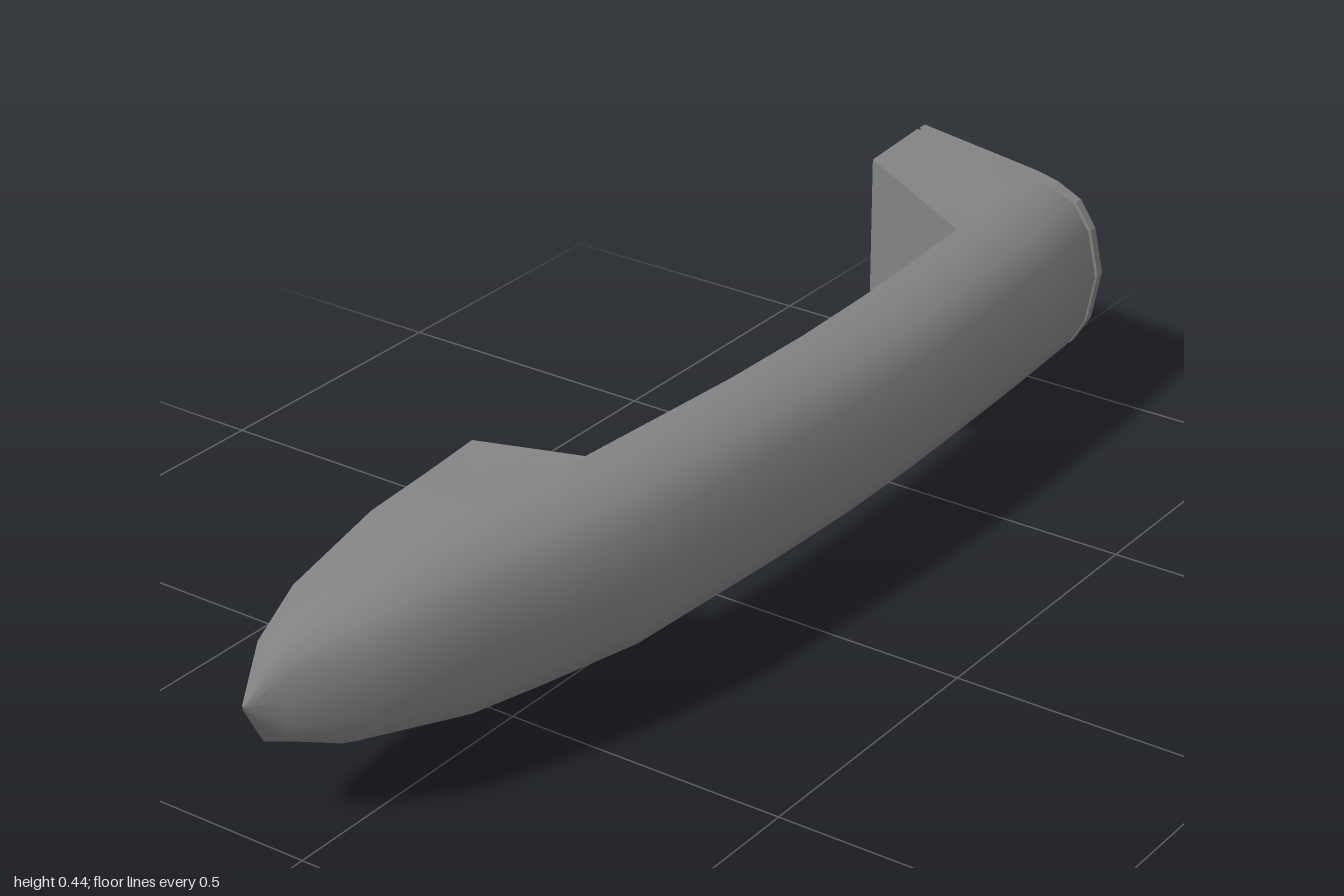
import * as THREE from 'three';

const color = 0x848484;
const smooth = new THREE.MeshStandardMaterial({ color, side: THREE.DoubleSide });
const flat = new THREE.MeshStandardMaterial({ color, side: THREE.DoubleSide, flatShading: true });

// Skin a list of cross-sections, each an equally long list of [x, y, z]
function loft(name, sections, material) {
  const n = sections[0].length;
  const index = [];
  for (let s = 0; s < sections.length - 1; s++) {
    for (let i = 0; i < n - 1; i++) {
      const a = s * n + i, b = a + n;
      index.push(a, a + 1, b, a + 1, b + 1, b);
    }
  }
  const geometry = new THREE.BufferGeometry();
  geometry.setAttribute('position', new THREE.Float32BufferAttribute(sections.flat(2), 3));
  geometry.setIndex(index);
  geometry.computeVertexNormals();
  const mesh = new THREE.Mesh(geometry, material);
  mesh.name = name;
  return mesh;
}

// Stations: x, edge z, edge top, edge bottom, shoulder z, shoulder top, shoulder bottom, front z
const stations = [
  [-1.0, -0.1, 0.228, 0.222, -0.1, 0.227, 0.223, -0.098],
  [-0.95, -0.108, 0.31, 0.14, -0.09, 0.302, 0.148, -0.05],
  [-0.86, -0.115, 0.36, 0.095, -0.065, 0.347, 0.11, 0.035],
  [-0.67, -0.124, 0.397, 0.052, -0.03, 0.385, 0.074, 0.105],
  [-0.54, -0.128, 0.402, 0.045, -0.01, 0.392, 0.07, 0.142],
  [-0.42, -0.13, 0.41, 0.037, 0.01, 0.398, 0.066, 0.168],
  [-0.35, 0.035, 0.402, 0.065, 0.04, 0.401, 0.067, 0.18],
  [0.0, 0.06, 0.402, 0.07, 0.065, 0.401, 0.071, 0.203],
  [0.2, 0.065, 0.402, 0.07, 0.07, 0.401, 0.071, 0.21],
  [0.4, 0.062, 0.403, 0.07, 0.067, 0.402, 0.071, 0.208],
  [0.7, 0.047, 0.406, 0.07, 0.052, 0.405, 0.071, 0.195],
  [0.82, -0.205, 0.434, 0.008, 0.04, 0.407, 0.067, 0.185],
  [0.975, -0.21, 0.44, 0.0, 0.03, 0.408, 0.064, 0.17],
];

// Rounded front of a section: forward fraction and height fraction
const arc = [[0, 1], [0.3, 0.94], [0.64, 0.8], [0.87, 0.51], [1, 0]];

// inset moves the section inwards to make the inner skin
function section([x, ze, et, eb, zs, st, sb, zf], inset = 0) {
  const mid = (st + sb) / 2 + 0.01 * Math.min(1, (st - sb) / 0.3);
  const front = zf - inset;
  const shoulder = zs - inset * 0.6;
  const at = ([f, h], y) => [x, mid + (y - mid) * h, shoulder + (front - shoulder) * f];
  return [
    [x, et - inset, ze + inset * 0.4],
    ...arc.map((p) => at(p, st - inset)),
    ...arc.slice(0, -1).reverse().map((p) => at(p, sb + inset)),
    [x, eb + inset, ze + inset * 0.4],
  ];
}

export function createModel() {
  const model = new THREE.Group();
  model.name = 'fairing';

  // Curved outer shell, open behind the nose and at the wide end
  model.add(loft('outerShell', stations.map((s) => section(s)), smooth));

  // Flat recessed back wall with its two sloped steps
  const wall = stations.slice(5, 12).map(([x, z, top, bottom]) => [[x, bottom, z], [x, top, z]]);
  model.add(loft('backWall', wall, flat));

  // Lip with a narrow groove and an inward bevel, and the inner skin at the wide end
  const end = stations[12];
  const move = (x) => [x, ...end.slice(1)];
  model.add(loft('endLip', [
    section(end), section(move(0.982), 0.005), section(move(0.984)), section(move(1)), section(move(0.985), 0.019),
  ], flat));
  model.add(loft('innerSkin', [
    section(move(0.985), 0.019), section(move(0.975), 0.019), section(stations[11], 0.004),
  ], smooth));

  return model;
}
